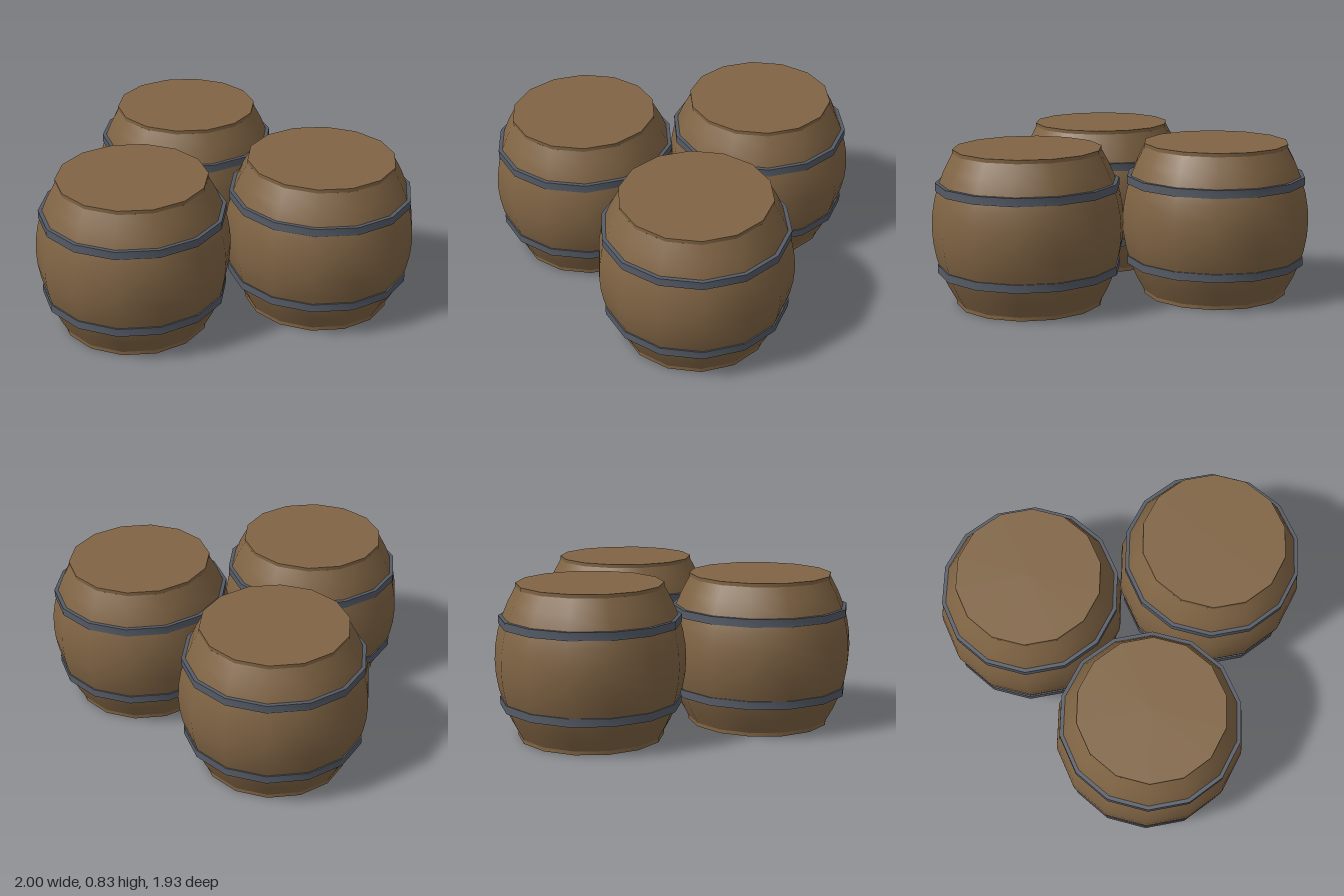
import * as THREE from 'three';
import { toCreasedNormals } from 'three/addons/utils/BufferGeometryUtils.js';

const SIDES = 14;
const HEIGHT = 0.83;
const MID = HEIGHT / 2;
const LIP = 0.02;
const END_RADIUS = 0.392;

// Stave radius at a height: a parabola, widest at the middle
const radiusAt = (y) => 0.51 - 0.756 * (y - MID) ** 2;

export function createModel() {
  const wood = new THREE.MeshStandardMaterial({ color: 0x806444 });
  wood.name = 'wood';
  const iron = new THREE.MeshStandardMaterial({ color: 0x555b66 });
  iron.name = 'iron';

  // Bulging staves
  const profile = [];
  for (let i = 0; i <= 10; i++) {
    const y = LIP + (i / 10) * (HEIGHT - 2 * LIP);
    profile.push(new THREE.Vector2(radiusAt(y), y));
  }
  const staveGeometry = new THREE.LatheGeometry(profile, SIDES);

  // Short straight lip with a flat end
  const endGeometry = new THREE.CylinderGeometry(END_RADIUS, END_RADIUS, LIP, SIDES);

  // Square-edged hoop
  const h = 0.0215;
  const hoopProfile = [[0.44, -h], [0.486, -h], [0.486, h], [0.44, h]]
    .map(([r, y]) => new THREE.Vector2(r, y));
  const hoopGeometry = toCreasedNormals(new THREE.LatheGeometry(hoopProfile, SIDES), 0.7);

  const makeBarrel = (name, x, z) => {
    const barrel = new THREE.Group();
    barrel.name = name;
    const add = (partName, geometry, material, y) => {
      const mesh = new THREE.Mesh(geometry, material);
      mesh.name = partName;
      mesh.position.y = y;
      barrel.add(mesh);
    };
    add('staves', staveGeometry, wood, 0);
    add('bottomEnd', endGeometry, wood, LIP / 2);
    add('topEnd', endGeometry, wood, HEIGHT - LIP / 2);
    add('lowerHoop', hoopGeometry, iron, MID - 0.22);
    add('upperHoop', hoopGeometry, iron, MID + 0.22);
    barrel.position.set(x, 0, z);
    return barrel;
  };

  const model = new THREE.Group();
  model.name = 'barrels';
  model.add(
    makeBarrel('backBarrel', 0.045, -0.457),
    makeBarrel('rightBarrel', -0.503, 0.36),
    makeBarrel('leftBarrel', 0.503, 0.452),
  );
  return model;
}
